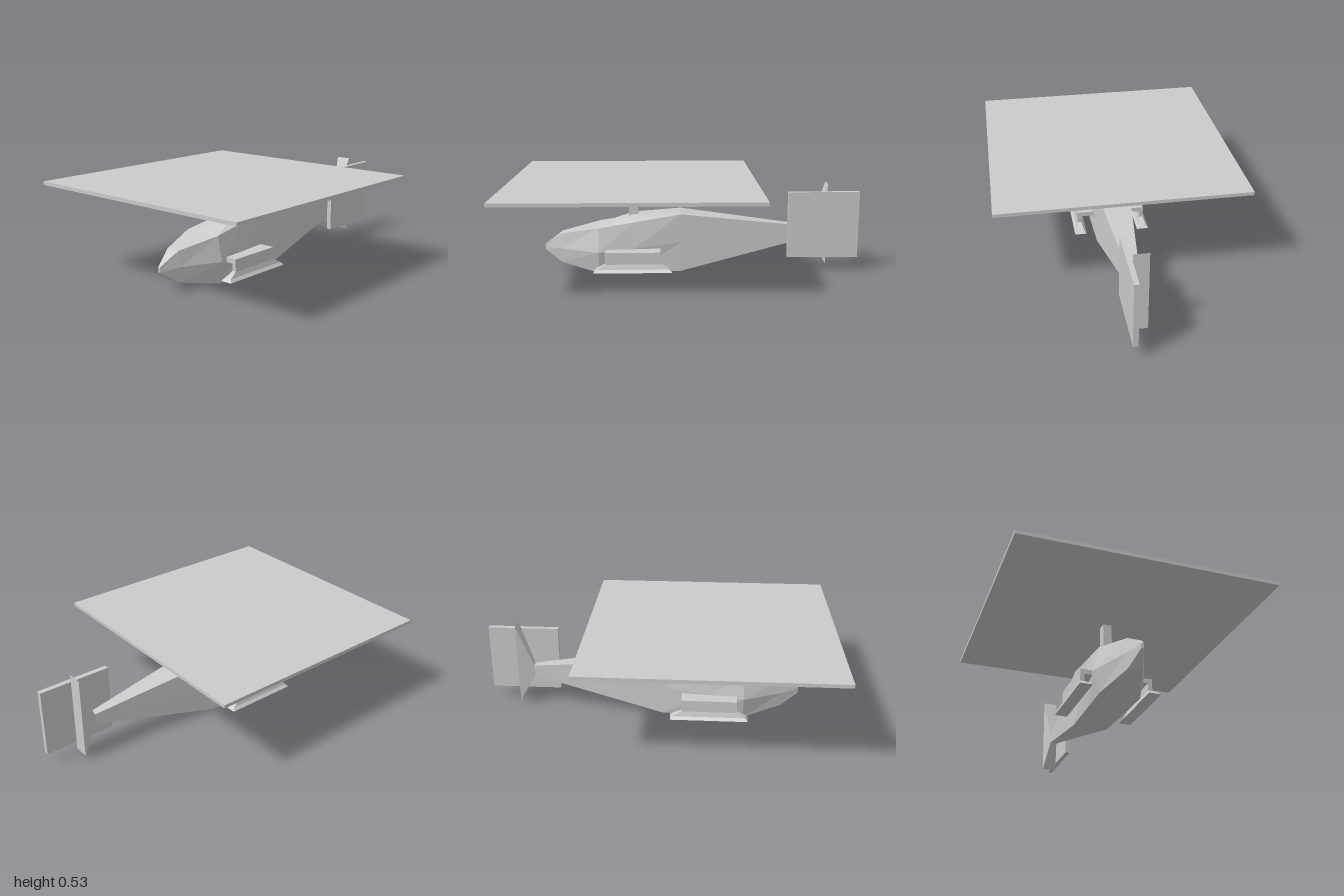
import * as THREE from 'three';

const material = new THREE.MeshStandardMaterial({ color: 0xcccccc, flatShading: true });

// Skin matching rings of points, closing both ends
function loft(rings) {
  const pos = [];
  const tri = (a, b, c) => pos.push(...a, ...b, ...c);
  const n = rings[0].length;
  for (let i = 0; i < rings.length - 1; i++) {
    for (let j = 0; j < n; j++) {
      const k = (j + 1) % n;
      const a = rings[i][j], b = rings[i][k], c = rings[i + 1][k], d = rings[i + 1][j];
      tri(a, d, c);
      tri(a, c, b);
    }
  }
  const first = rings[0], last = rings[rings.length - 1];
  for (let j = 1; j < n - 1; j++) {
    tri(first[0], first[j], first[j + 1]);
    tri(last[0], last[j + 1], last[j]);
  }
  const g = new THREE.BufferGeometry();
  g.setAttribute('position', new THREE.Float32BufferAttribute(pos, 3));
  g.computeVertexNormals();
  return g;
}

// Symmetric fuselage section: half outline from bottom to top, then mirrored
function section(z, half) {
  const right = half.map(([x, y]) => [x, y, z]);
  const left = half.map(([x, y]) => [-x, y, z]).reverse();
  return [...right, ...left];
}

// Horizontal rectangle for the skid flare
const rect = (y, w, z0, z1) => [[w, y, z1], [w, y, z0], [-w, y, z0], [-w, y, z1]];

export function createModel() {
  const model = new THREE.Group();
  model.name = 'helicopter';

  const add = (parent, name, geometry) => {
    const mesh = new THREE.Mesh(geometry, material);
    mesh.name = name;
    parent.add(mesh);
    return mesh;
  };
  // Box given by its limits on each axis
  const box = (parent, name, [x0, x1], [y0, y1], [z0, z1]) => {
    const mesh = add(parent, name, new THREE.BoxGeometry(x1 - x0, y1 - y0, z1 - z0));
    mesh.position.set((x0 + x1) / 2, (y0 + y1) / 2, (z0 + z1) / 2);
  };

  // Fuselage from nose to tail boom, ending in the flared tail fin
  add(model, 'fuselage', loft([
    section(0.82, [[0.007, 0.12], [0.007, 0.135], [0.007, 0.15], [0.003, 0.15]]),
    section(0.72, [[0.04, 0.05], [0.05, 0.135], [0.04, 0.222], [0.02, 0.222]]),
    section(0.5, [[0.112, 0.003], [0.14, 0.13], [0.112, 0.268], [0.05, 0.268]]),
    section(0.3, [[0.108, 0.004], [0.124, 0.15], [0.105, 0.3], [0.05, 0.332]]),
    section(0.03, [[0.1, 0.01], [0.098, 0.18], [0.095, 0.344], [0.05, 0.344]]),
    section(-0.73, [[0.02, 0.19], [0.02, 0.22], [0.02, 0.253], [0.01, 0.253]]),
    section(-0.82, [[0.043, 0.033], [0.043, 0.27], [0.043, 0.508], [0.02, 0.508]]),
  ]));

  // Main rotor, shown as a plate on a square mast
  box(model, 'rotorMast', [-0.025, 0.025], [0.3, 0.52], [0.275, 0.328]);
  box(model, 'mainRotor', [-0.7, 0.7], [0.515, 0.535], [-0.4, 1]);

  // Tail rotor plate
  box(model, 'tailRotor', [0.042, 0.07], [0.08, 0.465], [-1, -0.59]);
  box(model, 'tailRotorShaft', [0, 0.045], [0.21, 0.24], [-0.81, -0.775]);

  // Landing skids: arm, post and flared foot on each side
  for (const side of [1, -1]) {
    const skid = new THREE.Group();
    skid.name = side > 0 ? 'leftSkid' : 'rightSkid';
    skid.position.x = side * 0.19;
    const armX = side > 0 ? [-0.09, 0.012] : [-0.012, 0.09];
    box(skid, 'skidArm', armX, [0.12, 0.147], [0.145, 0.46]);
    box(skid, 'skidPost', [-0.012, 0.012], [0.075, 0.12], [0.145, 0.46]);
    add(skid, 'skidFoot', loft([
      rect(0.078, 0.012, 0.145, 0.46),
      rect(0.05, 0.021, 0.095, 0.51),
      rect(0.034, 0.035, 0.08, 0.525),
    ]));
    model.add(skid);
  }

  return model;
}
